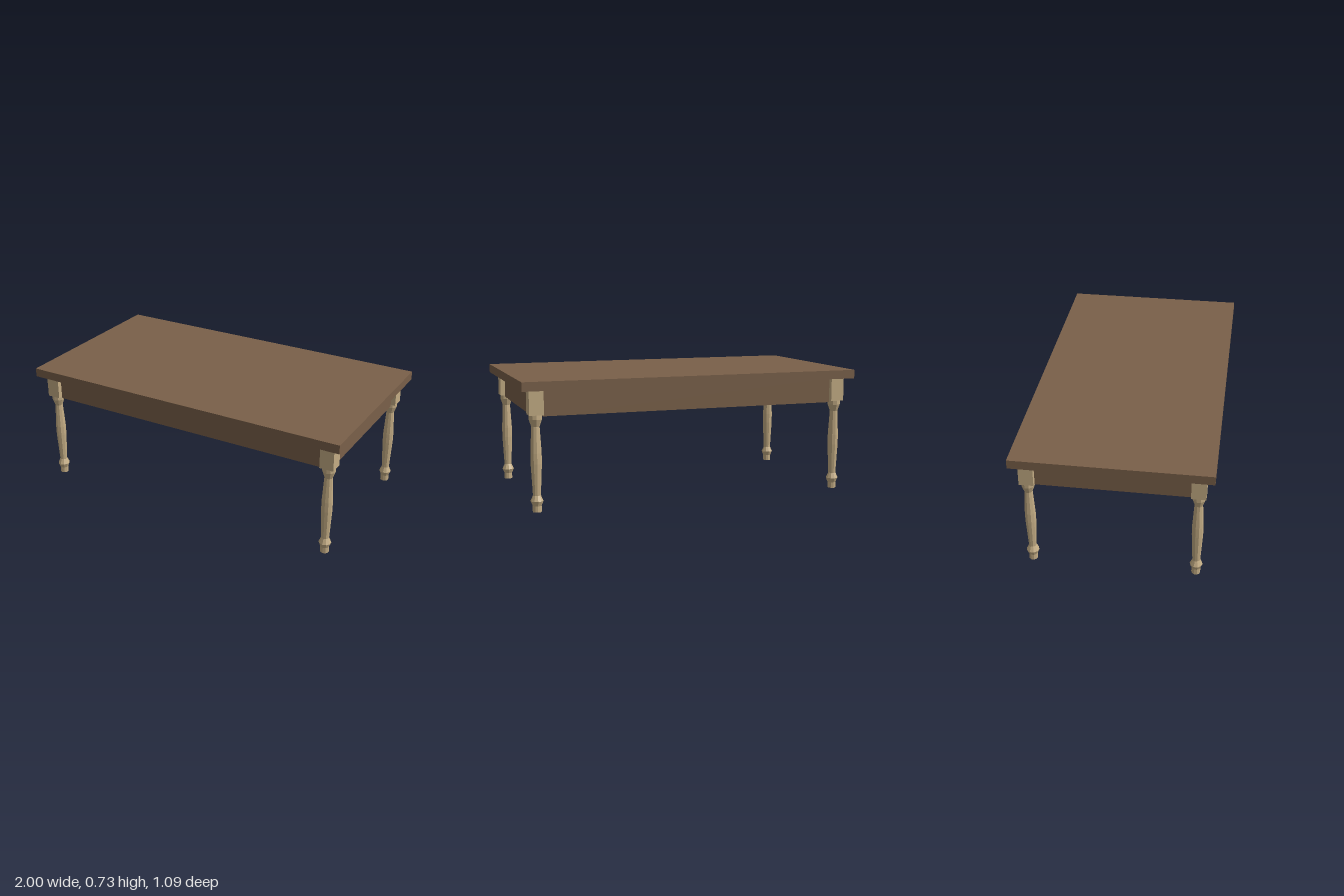
import * as THREE from 'three';

export function createModel() {
  const table = new THREE.Group();
  table.name = 'table';
  const darkWood = new THREE.MeshStandardMaterial({ color: 0x7a6049 });
  darkWood.name = 'dark wood';
  const paleWood = new THREE.MeshStandardMaterial({ color: 0xc4ad85 });
  paleWood.name = 'pale wood';

  const add = (parent, name, geometry, material, x, y, z) => {
    const mesh = new THREE.Mesh(geometry, material);
    mesh.name = name;
    mesh.position.set(x, y, z);
    parent.add(mesh);
    return mesh;
  };
  const box = (parent, name, material, w, h, d, x, y, z) =>
    add(parent, name, new THREE.BoxGeometry(w, h, d), material, x, y, z);

  // Leg centres and the square block at the head of each leg
  const legX = 0.914, legZ = 0.461, block = 0.081;
  const topUnder = 0.677, topThick = 0.051, blockBottom = 0.54;
  const apronBottom = 0.53, apronThick = 0.025;
  const apronH = topUnder - apronBottom, apronY = (topUnder + apronBottom) / 2;

  box(table, 'tabletop', darkWood, 2, topThick, 1.09, 0, topUnder + topThick / 2, 0);

  // Apron boards run between the leg blocks
  for (const s of [1, -1]) {
    box(table, s > 0 ? 'frontApron' : 'backApron', darkWood,
      2 * legX - block, apronH, apronThick, 0, apronY, s * legZ);
    box(table, s > 0 ? 'leftApron' : 'rightApron', darkWood,
      apronThick, apronH, 2 * legZ - block, s * legX, apronY, 0);
  }

  // Turned leg: faceted profile from foot to neck
  const profile = [
    [0, 0], [0.025, 0], [0.025, 0.035], [0.036, 0.062], [0.022, 0.093],
    [0.031, 0.27], [0.031, 0.33], [0.023, 0.475], [0.037, 0.515],
    [0.037, blockBottom], [0, blockBottom],
  ].map(([r, y]) => new THREE.Vector2(r, y));
  const turned = new THREE.LatheGeometry(profile, 10).toNonIndexed();
  turned.computeVertexNormals(); // one normal per facet

  for (const sx of [1, -1]) for (const sz of [1, -1]) {
    const leg = new THREE.Group();
    leg.name = (sz > 0 ? 'front' : 'back') + (sx > 0 ? 'Left' : 'Right') + 'Leg';
    leg.position.set(sx * legX, 0, sz * legZ);
    add(leg, 'turnedLeg', turned, paleWood, 0, 0, 0);
    box(leg, 'legBlock', paleWood, block, topUnder - blockBottom, block,
      0, (topUnder + blockBottom) / 2, 0);
    table.add(leg);
  }
  return table;
}
